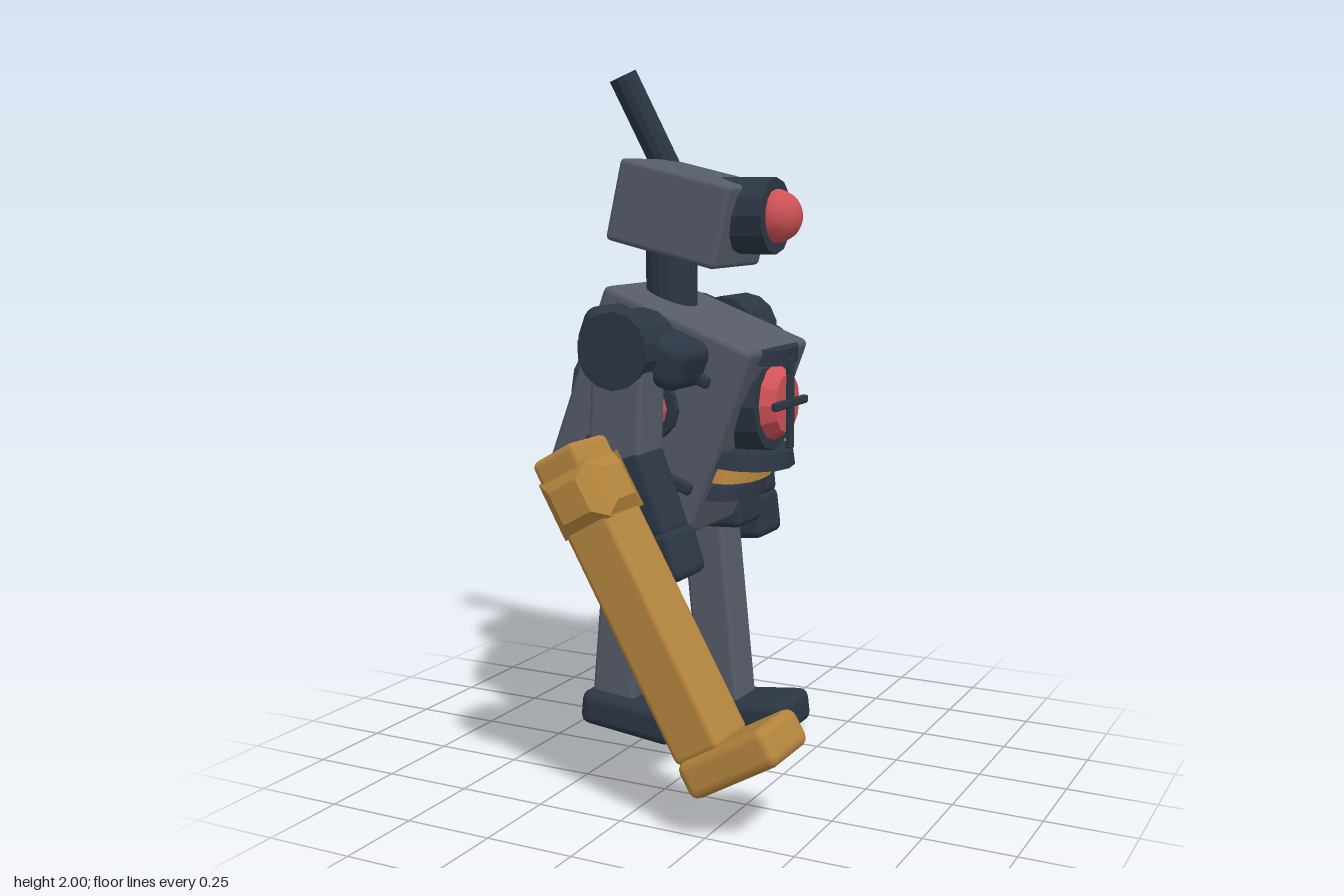
import * as THREE from 'three';
import { RoundedBoxGeometry } from 'three/addons/geometries/RoundedBoxGeometry.js';

const material = (name, color) => {
  const m = new THREE.MeshStandardMaterial({ color });
  m.name = name;
  return m;
};

export function createModel() {
  const model = new THREE.Group();
  model.name = 'robot';
  const grey = material('steel grey', 0x565b68);
  const dark = material('dark blue grey', 0x2c3644);
  const gold = material('gold', 0xb5853d);
  const red = material('red', 0xcf5257);
  const MID = -0.123; // z of the robot's own mirror plane

  const add = (name, geo, mat, [x, y, z], tilt = 0) => {
    const mesh = new THREE.Mesh(geo, mat);
    mesh.name = name;
    mesh.position.set(x, y, z);
    mesh.rotation.z = THREE.MathUtils.degToRad(tilt);
    model.add(mesh);
    return mesh;
  };
  // Box with softened edges, tilted in the xy plane
  const box = (name, mat, [w, h, d], at, tilt = 0, r = 0.015) =>
    add(name, new RoundedBoxGeometry(w, h, d, 2, r), mat, at, tilt);
  // Flat-sided cylinder lying along x, y or z
  const drum = (name, mat, r0, r1, length, axis, at, sides = 12, tilt = 0) => {
    const g = new THREE.CylinderGeometry(r1, r0, length, sides).toNonIndexed();
    g.computeVertexNormals();
    if (axis === 'x') g.rotateZ(-Math.PI / 2);
    if (axis === 'z') g.rotateX(Math.PI / 2);
    return add(name, g, mat, at, tilt);
  };
  // Box limb stretched between two points
  const limb = (name, mat, w, d, a, b, r = 0.015) => {
    const dx = b[0] - a[0], dy = b[1] - a[1];
    const tilt = THREE.MathUtils.radToDeg(Math.atan2(dx, -dy));
    return box(name, mat, [w, Math.hypot(dx, dy), d],
      [(a[0] + b[0]) / 2, (a[1] + b[1]) / 2, a[2]], tilt, r);
  };

  // Torso, neck and head
  box('torso', grey, [0.495, 0.57, 0.405], [-0.15, 1.04, MID], -20.5, 0.02);
  drum('neck', dark, 0.075, 0.075, 0.26, 'y', [-0.17, 1.43, MID], 16);
  box('head', grey, [0.357, 0.238, 0.307], [-0.112, 1.593, -0.132], -13);
  drum('eyeSocket', dark, 0.108, 0.108, 0.17, 'x', [0.073, 1.585, -0.13], 12);
  const eye = new THREE.SphereGeometry(0.076, 14, 8, 0, Math.PI * 2, 0, Math.PI / 2);
  add('eye', eye.rotateZ(-Math.PI / 2), red, [0.157, 1.585, -0.13]);

  // Leaning antenna
  const foot = new THREE.Vector3(-0.22, 1.635, -0.278);
  const tip = new THREE.Vector3(-0.357, 1.988, -0.172);
  const dir = tip.clone().sub(foot);
  const antenna = drum('antenna', dark, 0.042, 0.042, dir.length(), 'y',
    foot.clone().add(tip).multiplyScalar(0.5).toArray(), 12);
  antenna.quaternion.setFromUnitVectors(new THREE.Vector3(0, 1, 0), dir.normalize());

  // Chest lamp with a cross guard
  const chestY = 1.06;
  drum('chestLampHousing', dark, 0.155, 0.14, 0.1, 'x', [0.11, chestY, MID], 12);
  drum('chestLamp', red, 0.11, 0.085, 0.04, 'x', [0.18, chestY, MID], 12);
  box('lampGuardUpright', dark, [0.02, 0.26, 0.024], [0.208, chestY, MID], 0, 0.006);
  box('lampGuardCrossbar', dark, [0.02, 0.024, 0.22], [0.208, chestY, MID], 0, 0.006);

  // Curved ridges above and below the lamp, with the gold strip between
  const ridges = [
    ['chestRidge', dark, 1.205, 0.13, 0.08, 0.16, 0.045],
    ['upperLip', dark, 0.91, 0.06, 0.15, 0.18, 0.045],
    ['mouthStrip', gold, 0.862, 0.05, 0.075, 0.165, 0.04],
    ['lowerLip', dark, 0.81, 0.03, 0.075, 0.165, 0.04],
  ];
  for (const [name, mat, y, x, rx, rz, h] of ridges) {
    const g = new THREE.CylinderGeometry(0.93, 1, h, 16).scale(rx, 1, rz);
    add(name, g, mat, [x, y, MID], name === 'chestRidge' ? -10 : -6);
  }

  // Back lamp and vent slot
  drum('backLampHousing', dark, 0.125, 0.125, 0.07, 'x', [-0.405, 1.07, MID], 12);
  drum('backLamp', red, 0.07, 0.07, 0.03, 'x', [-0.448, 1.05, MID], 12);
  box('backLampGuard', dark, [0.014, 0.16, 0.02], [-0.467, 1.05, MID], 0, 0.005);
  box('backVent', dark, [0.03, 0.04, 0.24], [-0.332, 1.27, MID], -20.5, 0.01);

  // Parts repeated on both flanks
  for (const s of [1, -1]) {
    const z = (d) => MID + s * d;
    const side = s > 0 ? 'left' : 'right';
    box(side + 'ShoulderPad', dark, [0.34, 0.135, 0.2], [-0.12, 1.23, z(0.257)], -20.5, 0.04);
    drum(side + 'Shoulder', dark, 0.107, 0.107, 0.18, 'z', [-0.13, 1.23, z(0.335)], 14);
    drum(side + 'SideLampHousing', dark, 0.09, 0.09, 0.03, 'z', [-0.13, 1.05, z(0.21)], 12);
    drum(side + 'SideLamp', red, 0.062, 0.062, 0.03, 'z', [-0.13, 1.05, z(0.233)], 12);
    box(side + 'LowerVent', dark, [0.36, 0.035, 0.03], [-0.17, 0.887, z(0.205)], -20.5, 0.01);
    box(side + 'UpperVent', dark, [0.32, 0.035, 0.03], [-0.095, 1.185, z(0.205)], -20.5, 0.01);
  }

  // Arms: shoulder, elbow, wrist and hand centre
  const arms = [
    ['left', 0.227, [-0.12, 1.2], [-0.13, 0.92], [-0.04, 0.71], [-0.012, 0.665], 18],
    ['right', -0.468, [-0.12, 1.2], [-0.12, 0.92], [-0.095, 0.71], [-0.085, 0.65], 7],
  ];
  for (const [side, z, a, b, c, hand, tilt] of arms) {
    limb(side + 'UpperArm', grey, 0.16, 0.14, [...a, z], [...b, z]);
    limb(side + 'Forearm', dark, 0.165, 0.145, [b[0], b[1] + 0.02, z], [...c, z], 0.02);
    box(side + 'Hand', dark, [0.16, 0.14, 0.165], [...hand, z], tilt, 0.025);
  }

  // Legs in mid stride
  const legs = [
    ['left', 0.067, [-0.18, 0.8], [-0.237, 0.16], [-0.175, 0.158], -6, [-0.235, 0.825]],
    ['right', -0.289, [-0.135, 0.76], [-0.065, 0.08], [0.022, 0.074], 7, [-0.12, 0.73]],
  ];
  for (const [side, z, top, ankle, sole, tilt, hip] of legs) {
    box(side + 'Hip', dark, [0.25, 0.16, 0.17], [...hip, z - Math.sign(MID - z) * 0.006], tilt / 2, 0.02);
    limb(side + 'Leg', grey, 0.135, 0.138, [...top, z], [...ankle, z]);
    box(side + 'Foot', dark, [0.3, 0.102, 0.208], [...sole, z], tilt, 0.028);
  }

  // Loose gold leg leaning beside the robot
  const gz = 0.442, lean = 29.5;
  limb('goldLeg', gold, 0.148, 0.178, [-0.183, 0.985, gz], [0.245, 0.23, gz], 0.02);
  box('goldFoot', gold, [0.285, 0.105, 0.212], [0.329, 0.23, gz], 30, 0.028);
  // Four shallow square bosses around the knee
  const knee = new THREE.Group();
  knee.name = 'goldKnee';
  knee.position.set(-0.112, 0.866, gz);
  knee.rotation.z = THREE.MathUtils.degToRad(lean);
  for (let i = 0; i < 4; i++) {
    const g = new THREE.CylinderGeometry(0.065, 0.115, 0.03, 4).toNonIndexed();
    g.computeVertexNormals();
    g.rotateY(Math.PI / 4).translate(0, i % 2 ? 0.082 : 0.098, 0);
    if (i % 2) g.scale(1.0, 1, 1);
    g.rotateX(Math.PI / 2).rotateZ(0);
    if (i % 2) g.rotateY(Math.PI / 2);
    if (i > 1) g.rotateY(Math.PI);
    const boss = new THREE.Mesh(g, gold);
    boss.name = 'kneeBoss';
    knee.add(boss);
  }
  model.add(knee);
  return model;
}
